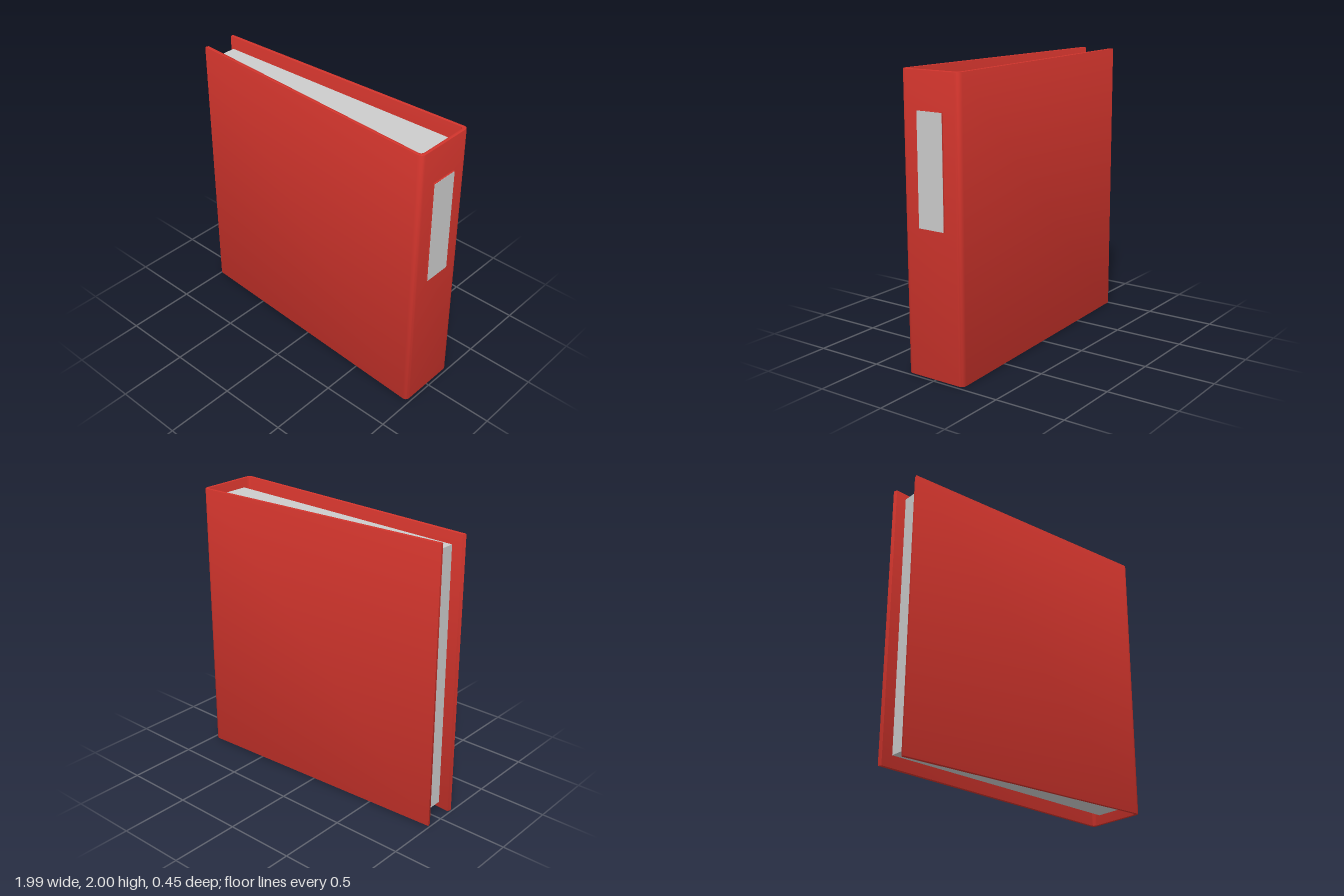
import * as THREE from 'three';
import { toCreasedNormals } from 'three/addons/utils/BufferGeometryUtils.js';

const red = new THREE.MeshStandardMaterial({ color: 0xd0342c });
const grey = new THREE.MeshStandardMaterial({ color: 0xcccccc });

// Extrudes a plan outline (x, z) upwards from y = bottom to y = top.
function extrudeUp(shape, bottom, top, bevel = 0) {
  const geometry = new THREE.ExtrudeGeometry(shape, {
    depth: top - bottom - 2 * bevel,
    bevelEnabled: bevel > 0,
    bevelSize: bevel,
    bevelThickness: bevel,
    bevelOffset: -bevel,
    bevelSegments: 2,
    curveSegments: 6,
  });
  geometry.rotateX(-Math.PI / 2).translate(0, bottom + bevel, 0);
  return toCreasedNormals(geometry, 0.6);
}

function addMesh(group, name, geometry, material) {
  const mesh = new THREE.Mesh(geometry, material);
  mesh.name = name;
  group.add(mesh);
}

export function createModel() {
  const group = new THREE.Group();
  group.name = 'ringBinder';

  // Cover: two boards tapering towards the open edge, joined by a spine with rounded corners
  const cover = new THREE.Shape();
  cover.moveTo(-0.993, -0.13);
  cover.lineTo(0.945, -0.226);
  cover.quadraticCurveTo(0.981, -0.226, 0.981, -0.19);
  cover.lineTo(0.981, 0.19);
  cover.quadraticCurveTo(0.981, 0.226, 0.945, 0.226);
  cover.lineTo(-0.993, 0.13);
  cover.lineTo(-0.985, 0.103);
  cover.lineTo(0.93, 0.202);
  cover.quadraticCurveTo(0.957, 0.202, 0.957, 0.175);
  cover.lineTo(0.957, -0.175);
  cover.quadraticCurveTo(0.957, -0.202, 0.93, -0.202);
  cover.lineTo(-0.985, -0.103);
  cover.closePath();
  addMesh(group, 'cover', extrudeUp(cover, 0, 2, 0.006), red);

  // Paper block: a wedge set back from the top, bottom and open edge
  const pages = new THREE.Shape([
    new THREE.Vector2(-0.93, -0.073),
    new THREE.Vector2(0.96, -0.145),
    new THREE.Vector2(0.96, 0.145),
    new THREE.Vector2(-0.93, 0.073),
  ]);
  addMesh(group, 'pages', extrudeUp(pages, 0.07, 1.93), grey);

  // Spine label: a thin red holder faced with a grey card
  const holder = new THREE.BoxGeometry(0.015, 0.75, 0.2).translate(0.983, 1.375, 0);
  addMesh(group, 'labelHolder', holder, red);
  const card = new THREE.BoxGeometry(0.002, 0.746, 0.198).translate(0.9915, 1.375, 0);
  addMesh(group, 'labelCard', card, grey);

  return group;
}
